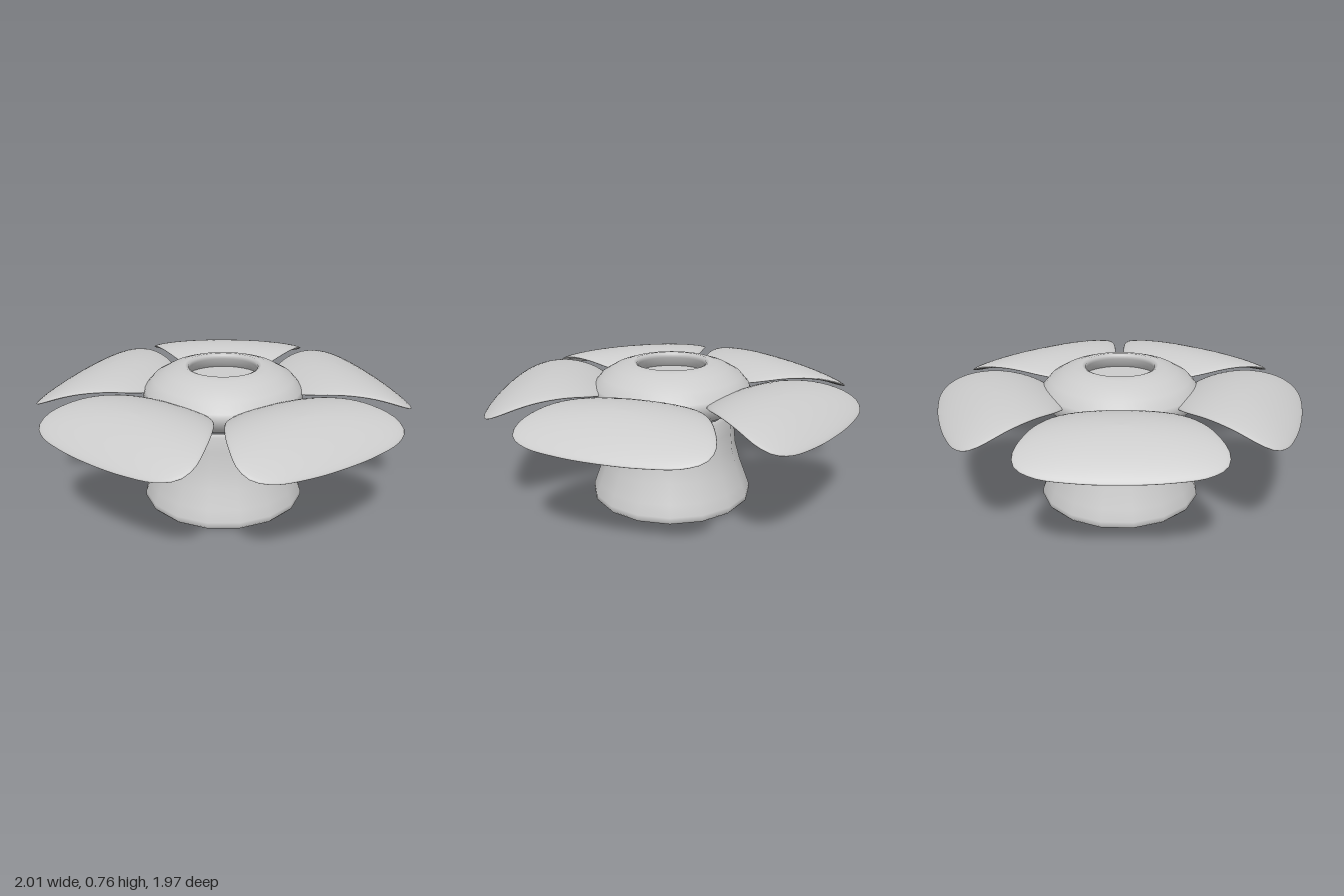
import * as THREE from 'three';

const material = new THREE.MeshStandardMaterial({ color: 0xcccccc });

function addMesh(parent, name, geometry) {
  const mesh = new THREE.Mesh(geometry, material);
  mesh.name = name;
  parent.add(mesh);
  return mesh;
}

function lathe(profile, sides) {
  return new THREE.LatheGeometry(profile.map(([r, y]) => new THREE.Vector2(r, y)), sides);
}

// Height of the petal's mid-surface: arched along z, slightly across x
const petalHeight = (x, z) => 0.674 - 0.87 * (z - 0.6) ** 2 - 0.08 * x * x;

// Thin pillow: the outline shrinks to its centre over the top and underside
function petalGeometry() {
  const half = [[0.2, 0.967], [0.38, 0.935], [0.462, 0.885], [0.481, 0.815], [0.437, 0.68],
    [0.36, 0.54], [0.265, 0.42], [0.15, 0.345]];
  const mirrored = half.slice().reverse().map(([x, z]) => [-x, z]);
  const outline = [[0, 0.976], ...half, [0, 0.325], ...mirrored];
  const curve = new THREE.CatmullRomCurve3(
    outline.map(([x, z]) => new THREE.Vector3(x, 0, z)), true);
  const around = 64, rows = 24, centreZ = 0.68, thickness = 0.032;
  const edge = curve.getSpacedPoints(around);
  const positions = [], indices = [];
  for (let k = 0; k <= rows; k++) {
    const t = Math.PI * k / rows;
    const s = Math.sin(t);
    for (let a = 0; a < around; a++) {
      const x = edge[a].x * s;
      const z = centreZ + (edge[a].z - centreZ) * s;
      positions.push(x, petalHeight(x, z) + thickness * Math.cos(t), z);
      if (k === rows) continue;
      const b = (a + 1) % around;
      const A = k * around + a, B = k * around + b;
      const C = A + around, D = B + around;
      if (k < rows - 1) indices.push(A, C, D);
      if (k > 0) indices.push(A, D, B);
    }
  }
  const geometry = new THREE.BufferGeometry();
  geometry.setAttribute('position', new THREE.Float32BufferAttribute(positions, 3));
  geometry.setIndex(indices);
  geometry.computeVertexNormals();
  return geometry;
}

export function createModel() {
  const model = new THREE.Group();
  model.name = 'pottedFlower';

  // Flared base with a flat underside
  const base = new THREE.Group();
  base.name = 'base';
  model.add(base);
  addMesh(base, 'baseWall', lathe([[0.435, 0], [0.448, 0.015], [0.446, 0.04], [0.424, 0.1],
    [0.387, 0.2], [0.36, 0.3], [0.35, 0.4], [0.343, 0.48], [0.33, 0.5]], 16));
  const bottom = addMesh(base, 'baseBottom', new THREE.CircleGeometry(0.435, 16));
  bottom.rotation.x = Math.PI / 2;

  // Rounded flower centre, its lip curling over a recess
  const centre = new THREE.Group();
  centre.name = 'flowerCentre';
  model.add(centre);
  addMesh(centre, 'centreRing', lathe([[0, 0.5], [0.31, 0.5], [0.36, 0.52], [0.405, 0.555],
    [0.437, 0.605], [0.425, 0.645], [0.38, 0.697], [0.31, 0.737], [0.25, 0.757],
    [0.205, 0.765], [0.187, 0.757], [0.19, 0.735], [0.205, 0.7], [0.225, 0.675]], 48));
  const floor = addMesh(centre, 'recessFloor', new THREE.CircleGeometry(0.225, 48));
  floor.rotation.x = -Math.PI / 2;
  floor.position.y = 0.68;

  // Five petals
  const petals = new THREE.Group();
  petals.name = 'petals';
  model.add(petals);
  const shape = petalGeometry();
  for (let i = 0; i < 5; i++) {
    addMesh(petals, `petal${i + 1}`, shape).rotation.y = i * Math.PI * 2 / 5;
  }
  return model;
}
